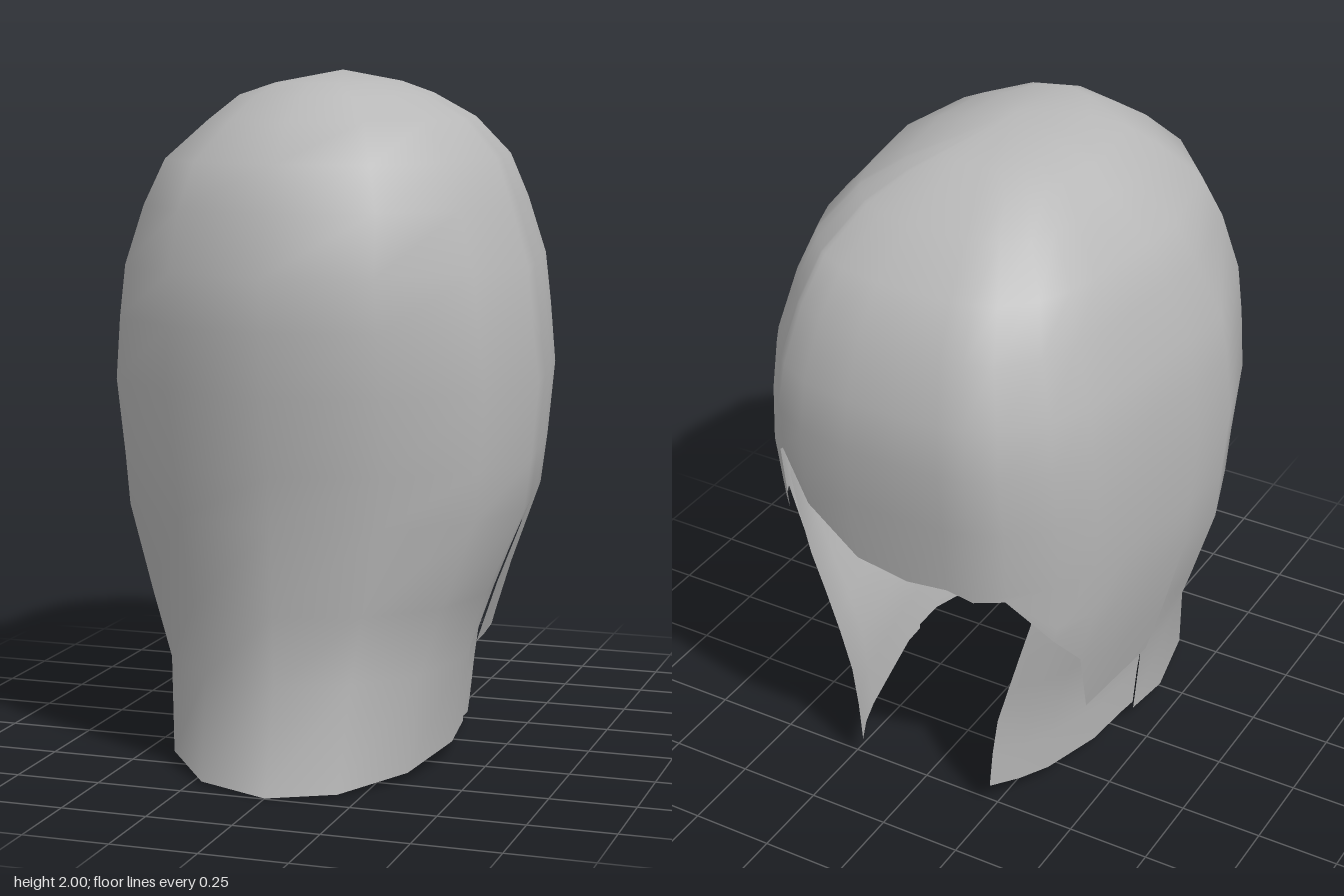
import * as THREE from 'three';
import { mergeVertices } from 'three/addons/utils/BufferGeometryUtils.js';

// Rings of the hair shell: y, half width at +x, half width at -x, z at +z end, z at -z end, z of widest point
const RINGS = [
  [2.0, 0, 0, 0.05, 0.05, 0.05],
  [1.965, 0.15, 0.17, 0.35, -0.24, 0.06],
  [1.93, 0.25, 0.28, 0.43, -0.33, 0.06],
  [1.86, 0.38, 0.36, 0.54, -0.45, 0.08],
  [1.75, 0.48, 0.48, 0.66, -0.6, 0.1],
  [1.62, 0.535, 0.535, 0.71, -0.69, 0.14],
  [1.45, 0.595, 0.6, 0.762, -0.745, 0.18],
  [1.3, 0.615, 0.617, 0.758, -0.76, 0.2],
  [1.12, 0.635, 0.635, 0.745, -0.745, 0.2],
  [0.9, 0.615, 0.615, 0.71, -0.715, 0.2],
  [0.75, 0.595, 0.605, 0.688, -0.695, 0.2],
  [0.5, 0.485, 0.53, 0.675, -0.68, 0.2],
  [0.3, 0.41, 0.465, 0.665, -0.67, 0.2],
  [0, 0.38, 0.44, 0.745, -0.68, 0.2],
];
// Roundness of the ring quarters
const powerRear = (y) => (y > 1.55 ? 2.2 : 1.97);
const powerFront = (side) => (side > 0 ? 2.8 : 3.4);

// Ring sizes at any height
function ringAt(y) {
  let i = 0;
  while (i < RINGS.length - 2 && RINGS[i + 1][0] > y) i++;
  const a = RINGS[i], b = RINGS[i + 1];
  const t = (a[0] - y) / (a[0] - b[0]);
  return a.map((v, k) => v + (b[k] - v) * t);
}

// Point on the rounded ring; 0 deg = +x, 90 = -z, 180 = -x, 270 = +z
function shellPoint(deg, y, flare = 0) {
  const [, wPos, wNeg, zPos, zNeg, zc] = ringAt(y);
  const a = THREE.MathUtils.degToRad(deg);
  const c = Math.cos(a), s = Math.sin(a);
  const n = s > 0 ? powerFront(c) : powerRear(y);
  const k = 1 + Math.max(0, 0.75 - y) * flare;
  // The temples pinch in slightly
  const pinch = 1 - 0.055 * THREE.MathUtils.clamp(s * 7, 0, 1);
  const x = (c > 0 ? wPos : -wNeg) * Math.abs(c) ** (2 / n) * k * pinch;
  const z = zc + ((s > 0 ? zNeg : zPos) - zc) * Math.abs(s) ** (2 / n) * k;
  return [x, y, z];
}

// Adds a grid of points (columns of rows) to a position/index store
function addGrid(store, columns) {
  const start = store.pos.length / 3;
  const rows = columns[0].length;
  columns.forEach((col) => col.forEach((p) => store.pos.push(...p)));
  for (let j = 0; j < columns.length - 1; j++) {
    for (let i = 0; i < rows - 1; i++) {
      const a = start + j * rows + i, b = a + rows;
      store.idx.push(a, a + 1, b, b, a + 1, b + 1);
    }
  }
}

function smoothGeometry(store, flip = false) {
  if (flip) store.idx.reverse();
  let g = new THREE.BufferGeometry();
  g.setAttribute('position', new THREE.Float32BufferAttribute(store.pos, 3));
  g.setIndex(store.idx);
  g = mergeVertices(g, 1e-4);
  g.computeVertexNormals();
  return g;
}

// One strand column from the crown down to its hem
const column = (deg, hem, flare) =>
  RINGS.map((r) => shellPoint(deg, Math.max(r[0], hem), flare));

export function createModel() {
  const group = new THREE.Group();
  group.name = 'hair';
  const hairMat = new THREE.MeshStandardMaterial({ color: 0xb8b8b8, side: THREE.DoubleSide });
  hairMat.name = 'hair grey';

  const add = (geometry, name) => {
    const mesh = new THREE.Mesh(geometry, hairMat);
    mesh.name = name;
    group.add(mesh);
  };

  // Cap: side flaps and jagged fringe (angle, hem height) plus the long nape
  const fringe = [
    [5.7, 0.315], [14, 0.3], [25.5, 0.295], [36.4, 0.6], [40.3, 0.89], [48, 0.91],
    [57.4, 0.93], [58.7, 1.15], [61.2, 1.17], [73, 1.04], [86.5, 0.92], [92, 0.89],
    [100, 0.9], [107, 0.87], [117, 0.88], [134.5, 0.7], [148, 0.57],
    [159, 0.295], [168, 0.3], [176.5, 0.315],
  ];
  const cap = { pos: [], idx: [] };
  addGrid(cap, fringe.map(([deg, hem]) => column(deg, hem, 0.07)));
  const napeAngles = [176.5, 180, 210, 240, 270, 300, 330, 360, 365.7];
  addGrid(cap, napeAngles.map((deg) =>
    column(deg, 0.07 * (1 - shellPoint(deg, 0)[2] / 0.745), 0)));
  add(smoothGeometry(cap), 'hairCap');

  // Inner neck locks under the flaps, curling in towards the open side
  const lockHem = [[0.06, 0.064], [-0.02, 0.068], [-0.14, 0.05], [-0.34, 0.055], [-0.44, 0.067], [-0.53, 0.08]];
  for (const side of [1, -1]) {
    const lock = { pos: [], idx: [] };
    addGrid(lock, lockHem.map(([z, hem]) => {
      const col = [];
      for (let i = 0; i <= 7; i++) {
        const y = 0.98 + (hem - 0.98) * (i / 7);
        const [, wPos, wNeg, , zNeg, zc] = ringAt(y);
        const t = (zc - z) / (zc - zNeg);
        const w = side > 0 ? wPos : wNeg;
        const n = 2 + 0.5 * y;
        col.push([side * 0.95 * w * (1 - t ** n) ** (1 / n), y, z]);
      }
      return col;
    }));
    add(smoothGeometry(lock, side < 0), side > 0 ? 'leftNeckLock' : 'rightNeckLock');
  }
  return group;
}
